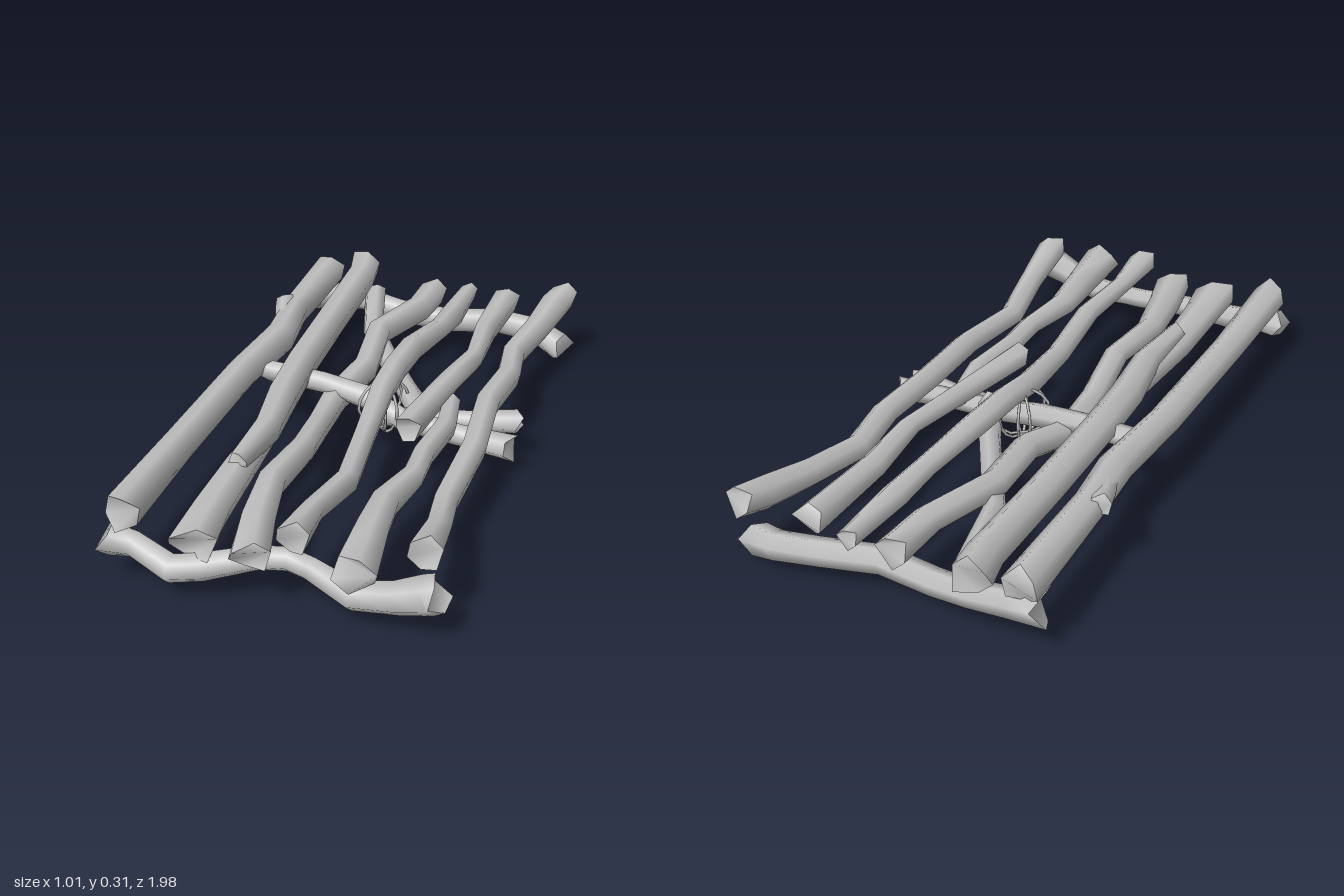
import * as THREE from 'three';

const wood = new THREE.MeshStandardMaterial({ color: 0xc0c0c0 });
wood.name = 'greyWood';
const UP = new THREE.Vector3(0, 1, 0);

// Six-sided branch swept along [x, y, z, radius, flattening] points, with ragged ends
function branch(name, pts) {
  const sides = 6;
  const c = pts.map(p => new THREE.Vector3(p[0], p[1], p[2]));
  const n = pts.length, pos = [], idx = [];
  const rings = c.map((p, i) => {
    const t = c[Math.min(i + 1, n - 1)].clone().sub(c[Math.max(i - 1, 0)]).normalize();
    const side = UP.clone().cross(t).normalize();
    const up = t.clone().cross(side);
    const [, , , r, flat = 1] = pts[i];
    const ring = [];
    for (let k = 0; k < sides; k++) {
      const a = (k / sides) * Math.PI * 2 + 0.3;
      const v = p.clone().addScaledVector(side, Math.cos(a) * r).addScaledVector(up, Math.sin(a) * r * flat);
      if (i === 0 || i === n - 1) v.addScaledVector(t, Math.sin(k * 2 + n) * r * 0.4);
      ring.push(v);
    }
    return ring;
  });
  rings.forEach(ring => ring.forEach(v => pos.push(v.x, v.y, v.z)));
  for (let i = 0; i < n - 1; i++) for (let k = 0; k < sides; k++) {
    const a = i * sides + k, b = i * sides + (k + 1) % sides;
    idx.push(a, b, b + sides, a, b + sides, a + sides);
  }
  // end caps use their own corners to keep a sharp rim
  [0, n - 1].forEach(i => {
    const base = pos.length / 3;
    rings[i].forEach(v => pos.push(v.x, v.y, v.z));
    for (let k = 1; k < sides - 1; k++) {
      if (i) idx.push(base, base + k, base + k + 1);
      else idx.push(base, base + k + 1, base + k);
    }
  });
  const g = new THREE.BufferGeometry();
  g.setAttribute('position', new THREE.Float32BufferAttribute(pos, 3));
  g.setIndex(idx);
  g.computeVertexNormals();
  const m = new THREE.Mesh(g, wood);
  m.name = name;
  return m;
}

export function createModel() {
  const model = new THREE.Group();
  model.name = 'branchRaft';
  const add = (name, pts) => model.add(branch(name, pts));

  // long branches, from -x to +x
  add('longBranch1', [[-0.43, 0.24, -0.92, 0.058], [-0.425, 0.24, -0.5, 0.05], [-0.405, 0.23, -0.3, 0.054],
    [-0.43, 0.23, 0, 0.05], [-0.435, 0.225, 0.5, 0.05], [-0.43, 0.227, 0.91, 0.056]]);
  add('knotStub', [[-0.42, 0.24, -0.38, 0.03], [-0.45, 0.25, -0.47, 0.035], [-0.468, 0.262, -0.53, 0.034]]);
  add('longBranch2', [[-0.305, 0.255, -0.96, 0.06], [-0.285, 0.25, -0.85, 0.055], [-0.28, 0.235, -0.5, 0.053],
    [-0.27, 0.225, -0.13, 0.053], [-0.255, 0.215, 0.1, 0.053], [-0.225, 0.215, 0.32, 0.045], [-0.235, 0.215, 0.54, 0.032]]);
  add('longBranch2Front', [[-0.245, 0.18, 0.2, 0.035], [-0.245, 0.175, 0.5, 0.053, 0.85], [-0.235, 0.175, 0.75, 0.06, 0.75],
    [-0.22, 0.172, 0.93, 0.072, 0.65]]);
  add('longBranch3', [[-0.025, 0.2, -0.91, 0.05], [-0.035, 0.2, -0.74, 0.047], [-0.115, 0.2, -0.5, 0.045],
    [-0.09, 0.175, -0.26, 0.045], [-0.14, 0.14, -0.08, 0.045], [-0.125, 0.15, 0.13, 0.04], [-0.1, 0.185, 0.35, 0.04],
    [-0.125, 0.18, 0.56, 0.045], [-0.09, 0.175, 0.77, 0.055, 0.85], [-0.05, 0.17, 0.94, 0.06, 0.65]]);
  add('longBranch4', [[0.105, 0.21, -0.93, 0.032], [0.1, 0.21, -0.7, 0.042], [0.09, 0.22, -0.55, 0.036],
    [0.055, 0.245, -0.31, 0.042], [0.045, 0.245, -0.14, 0.042], [0.04, 0.225, 0.0, 0.042], [0.06, 0.2, 0.24, 0.037],
    [0.095, 0.205, 0.53, 0.037], [0.065, 0.225, 0.74, 0.034], [0.065, 0.237, 0.92, 0.048]]);
  add('longBranch5Back', [[0.25, 0.205, -0.9, 0.05], [0.24, 0.205, -0.6, 0.042], [0.255, 0.21, -0.37, 0.034],
    [0.22, 0.21, -0.18, 0.037], [0.17, 0.2, 0.17, 0.044]]);
  add('longBranch5Front', [[0.24, 0.165, -0.12, 0.03], [0.27, 0.175, 0.08, 0.036], [0.25, 0.175, 0.27, 0.036],
    [0.255, 0.175, 0.4, 0.036], [0.22, 0.18, 0.58, 0.045], [0.23, 0.185, 0.74, 0.052], [0.25, 0.185, 0.96, 0.066, 0.8]]);
  add('longBranch6', [[0.455, 0.23, -0.95, 0.048], [0.43, 0.215, -0.86, 0.052], [0.4, 0.19, -0.7, 0.045],
    [0.36, 0.175, -0.5, 0.042], [0.385, 0.185, -0.31, 0.042], [0.365, 0.195, -0.08, 0.042], [0.385, 0.175, 0.19, 0.042],
    [0.37, 0.148, 0.48, 0.04], [0.4, 0.185, 0.68, 0.04], [0.415, 0.23, 0.88, 0.05]]);
  add('diagonalBranch', [[-0.235, 0.19, -0.86, 0.04], [-0.16, 0.17, -0.58, 0.036], [-0.05, 0.145, -0.4, 0.036],
    [0.06, 0.14, -0.22, 0.036], [0.15, 0.15, -0.06, 0.04]]);

  // crossbars
  add('frontCrossbar', [[-0.48, 0.13, 0.9, 0.05], [-0.4, 0.125, 0.9, 0.04], [-0.28, 0.09, 0.935, 0.044],
    [-0.2, 0.1, 0.92, 0.042], [-0.05, 0.125, 0.865, 0.036], [0.03, 0.125, 0.85, 0.036], [0.1, 0.115, 0.865, 0.036],
    [0.23, 0.085, 0.91, 0.044], [0.35, 0.11, 0.925, 0.048], [0.44, 0.14, 0.93, 0.058], [0.465, 0.15, 0.93, 0.055]]);
  add('backCrossbar', [[-0.47, 0.155, -0.87, 0.06], [-0.38, 0.15, -0.89, 0.045], [-0.26, 0.14, -0.9, 0.04],
    [-0.14, 0.12, -0.88, 0.042], [0.04, 0.115, -0.86, 0.044], [0.22, 0.112, -0.91, 0.044],
    [0.36, 0.09, -0.92, 0.046], [0.465, 0.05, -0.88, 0.052]]);
  add('middleCrossbarA', [[-0.38, 0.2, -0.1, 0.035], [-0.18, 0.19, -0.085, 0.035], [-0.03, 0.165, -0.07, 0.04],
    [0.1, 0.12, -0.035, 0.038], [0.3, 0.105, -0.01, 0.036], [0.465, 0.1, 0.015, 0.044]]);
  add('middleCrossbarB', [[0.0, 0.12, -0.03, 0.03], [0.15, 0.125, -0.05, 0.033], [0.32, 0.13, -0.07, 0.034],
    [0.465, 0.135, -0.1, 0.04]]);

  // thin cord loops tying the middle crossing
  const ties = new THREE.Group();
  ties.name = 'cordTies';
  [0.75, 1.2, 2.0, 2.5].forEach((angle, i) => {
    const dx = Math.cos(angle), dz = Math.sin(angle), w = 0.085;
    const loop = [[-1, 0.16], [-0.6, 0.22], [0, 0.24], [0.6, 0.22], [1, 0.16], [0.6, 0.085], [0, 0.055 + i * 0.008], [-0.6, 0.085]]
      .map(([s, y]) => new THREE.Vector3(0.03 + dx * s * w, y, -0.065 + dz * s * w * 1.1));
    const curve = new THREE.CatmullRomCurve3(loop, true);
    const m = new THREE.Mesh(new THREE.TubeGeometry(curve, 16, 0.005, 5, true), wood);
    m.name = 'cordLoop';
    ties.add(m);
  });
  model.add(ties);
  return model;
}
